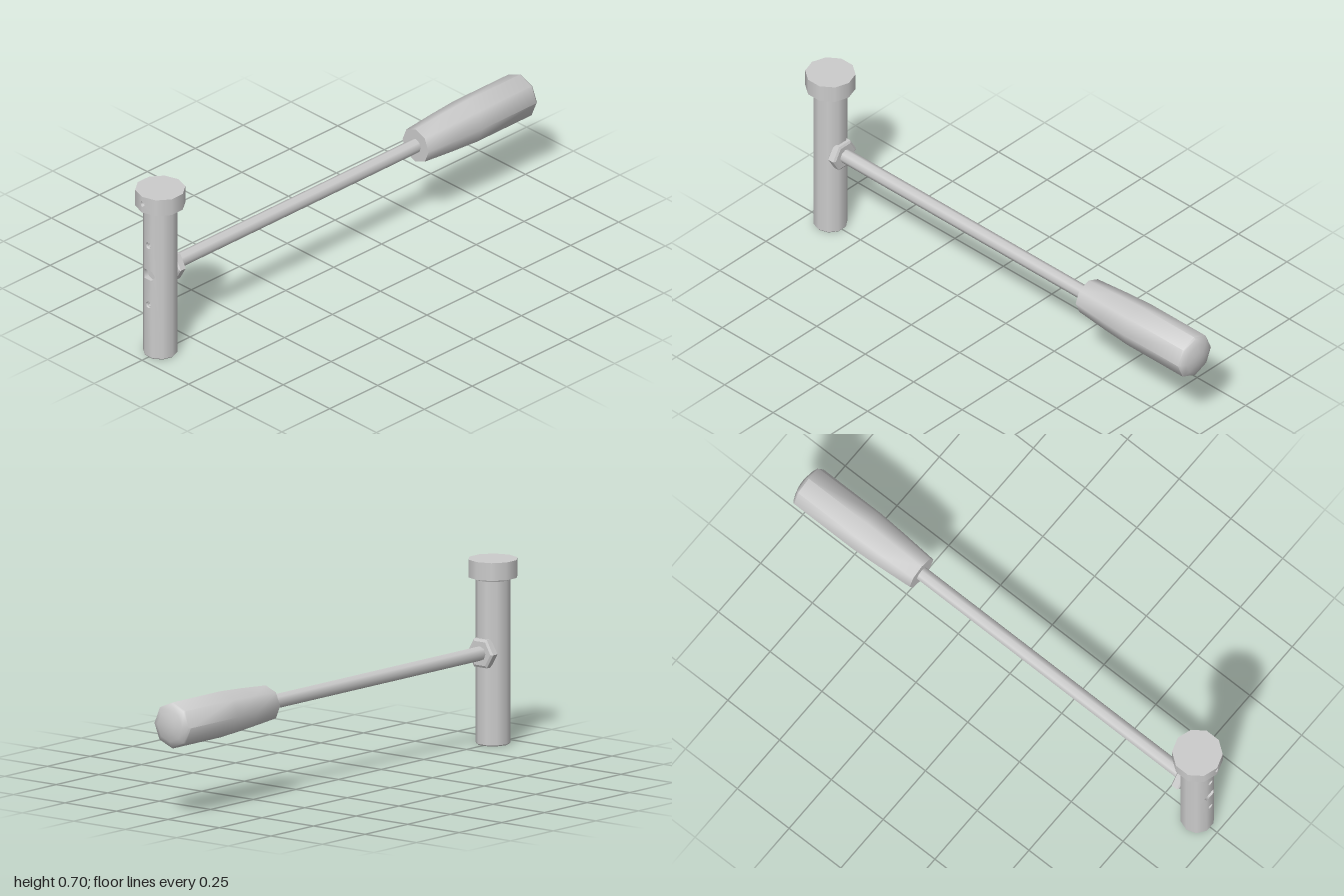
import * as THREE from 'three';
import { toCreasedNormals } from 'three/addons/utils/BufferGeometryUtils.js';

const mat = new THREE.MeshStandardMaterial({ color: 0xcccccc });
const inner = new THREE.MeshStandardMaterial({ color: 0xcccccc, side: THREE.DoubleSide });
const AXIS_Z = 0.905, ROD_Y = 0.354;
const POST_R = 0.065, POST_TOP = 0.627;
const CAP_R = 0.095, CAP_BOTTOM = 0.637, CAP_TOP = 0.705;
const DEG = Math.PI / 180;
const STEP = 36 * DEG; // ten-sided post and cap
const v2 = (x, y) => new THREE.Vector2(x, y);

function add(parent, name, geo, material = mat) {
  const mesh = new THREE.Mesh(geo, material);
  mesh.name = name;
  parent.add(mesh);
  return mesh;
}

const lathe = (pts, n, start = 0, length = Math.PI * 2) =>
  new THREE.LatheGeometry(pts.map(([r, y]) => v2(r, y)), n, start, length);

// Smooth shading around the vertical axis
function radialNormals(geo) {
  const p = geo.attributes.position, n = geo.attributes.normal;
  for (let i = 0; i < p.count; i++) {
    const l = Math.hypot(p.getX(i), p.getZ(i));
    n.setXYZ(i, p.getX(i) / l, 0, p.getZ(i) / l);
  }
  return geo;
}

// One flat facet of a ten-sided wall, outlined in (u, y)
function facet(radius, angle, outline, holes = []) {
  const shape = new THREE.Shape(outline.map(([u, y]) => v2(u, y)));
  for (const [y, r] of holes) {
    const pts = [];
    for (let i = 0; i < 8; i++) {
      const a = i * Math.PI / 4;
      pts.push(v2(r * Math.sin(a), y + r * Math.cos(a)));
    }
    shape.holes.push(new THREE.Path(pts));
  }
  const geo = new THREE.ShapeGeometry(shape);
  geo.translate(0, 0, radius * Math.cos(STEP / 2));
  geo.rotateY(angle);
  return radialNormals(geo);
}

// Wall of a bore along z, its rim trimmed to the surface it opens through
function bore(parent, name, y, rFront, rBack, zFront, zBack, sides, surface) {
  const geo = new THREE.CylinderGeometry(rFront, rBack, zFront - zBack, sides, 1, true);
  geo.rotateX(Math.PI / 2);
  geo.translate(0, y, (zFront + zBack) / 2);
  const p = geo.attributes.position;
  if (surface) {
    for (let i = 0; i < p.count; i++) p.setZ(i, Math.min(p.getZ(i), surface(Math.abs(p.getX(i)))));
  }
  add(parent, name, geo, inner);
}

// Set screw sunk in a bore, with a hexagonal socket
function setScrew(parent, y, r, z) {
  const ring = new THREE.RingGeometry(r * 0.55, r * 0.85, 24);
  ring.translate(0, y, z);
  add(parent, 'setScrewFace', ring);
  bore(parent, 'setScrewSocket', y, r * 0.57, r * 0.57, z, z - 0.012, 6);
  const floor = new THREE.CircleGeometry(r * 0.57, 6, Math.PI / 6 * 3);
  floor.translate(0, y, z - 0.012);
  add(parent, 'socketFloor', floor);
}

function buildPost() {
  const post = new THREE.Group();
  post.name = 'post';
  const h = POST_R * Math.sin(STEP / 2), front = POST_R * Math.cos(STEP / 2);
  const boreR = h * Math.SQRT2, y0 = 0.004, y1 = POST_TOP;
  const screws = [0.48, 0.225], screwR = 0.014;

  // Seven plain facets around the back, three drilled ones at the front
  add(post, 'postWall', radialNormals(lathe([[POST_R, y0], [POST_R, y1]], 7, 54 * DEG, 252 * DEG)));
  add(post, 'postFrontUpper', facet(POST_R, 0,
    [[-h, ROD_Y + h], [h, ROD_Y + h], [h, y1], [-h, y1]], [[screws[0], screwR]]));
  add(post, 'postFrontLower', facet(POST_R, 0,
    [[-h, y0], [h, y0], [h, ROD_Y - h], [-h, ROD_Y - h]], [[screws[1], screwR]]));
  const tip = h - (boreR - h) / Math.cos(STEP);
  for (const s of [-1, 1]) {
    add(post, 'postFrontSide', facet(POST_R, s * STEP, [
      [s * h, y0], [s * h, y1], [-s * h, y1], [-s * h, ROD_Y + h],
      [-s * tip, ROD_Y], [-s * h, ROD_Y - h], [-s * h, y0]]));
  }

  // Bores in the front
  bore(post, 'rodBore', ROD_Y, boreR, boreR, front, 0.03, 8,
    x => front - Math.max(0, x - h) * Math.tan(STEP));
  for (const y of screws) {
    bore(post, 'screwBore', y, screwR, screwR * 0.85, front, front - 0.008, 8);
    setScrew(post, y, screwR, front - 0.008);
  }

  // Chamfered foot with a blind hole
  add(post, 'footChamfer', lathe([[0.062, 0], [POST_R, y0]], 10, 18 * DEG));
  const foot = new THREE.RingGeometry(0.014, 0.062, 10);
  foot.rotateX(Math.PI / 2);
  add(post, 'foot', foot);
  add(post, 'footHole', lathe([[0, 0.03], [0.014, 0.03], [0.014, 0]], 10, 18 * DEG), inner);

  // Fillet under the cap
  add(post, 'neckFillet', lathe(
    [[POST_R, POST_TOP], [0.0665, 0.632], [0.07, 0.6355], [0.075, CAP_BOTTOM]], 10, 18 * DEG));
  return post;
}

function buildCap() {
  const cap = new THREE.Group();
  cap.name = 'cap';
  const w = CAP_R * Math.sin(STEP / 2), r = 0.011, y = 0.673, d = r * Math.SQRT1_2;
  add(cap, 'capWall', radialNormals(
    lathe([[CAP_R, CAP_BOTTOM], [CAP_R, CAP_TOP]], 8, STEP, 288 * DEG)));

  // Two front facets share a screw hole on their common edge
  for (const s of [-1, 1]) {
    const u = x => s * (-w + x / Math.cos(STEP / 2));
    add(cap, 'capFront', facet(CAP_R, s * STEP / 2, [
      [s * w, CAP_BOTTOM], [s * w, CAP_TOP], [-s * w, CAP_TOP], [u(0), y + r], [u(d), y + d],
      [u(r), y], [u(d), y - d], [u(0), y - r], [-s * w, CAP_BOTTOM]]));
  }
  bore(cap, 'capBore', y, r, r * 0.85, CAP_R, CAP_R - 0.014, 8,
    x => CAP_R - x * Math.tan(STEP / 2));
  setScrew(cap, y, r, CAP_R - 0.014);

  for (const s of [-1, 1]) {
    const disc = new THREE.CircleGeometry(CAP_R, 10, Math.PI / 2);
    disc.rotateX(-s * Math.PI / 2);
    disc.translate(0, s > 0 ? CAP_TOP : CAP_BOTTOM, 0);
    add(cap, s > 0 ? 'capTop' : 'capUnderside', disc);
  }
  return cap;
}

export function createModel() {
  const model = new THREE.Group();
  model.name = 'leverTool';

  const head = new THREE.Group();
  head.name = 'head';
  head.position.z = AXIS_Z;
  head.add(buildPost(), buildCap());
  model.add(head);

  // Lever parts are turned about y and then laid along z
  const lever = new THREE.Group();
  lever.name = 'lever';
  lever.position.y = ROD_Y;
  lever.rotation.x = Math.PI / 2;
  model.add(lever);

  // Octagonal rod running through the post
  const rod = new THREE.CylinderGeometry(0.028, 0.028, 1.395, 8);
  rod.translate(0, 0.945 - 1.395 / 2, 0);
  add(lever, 'rod', rod);

  // Hexagonal lock nut against the back of the post
  const nut = lathe([[0, 0.827], [0.052, 0.827], [0.062, 0.832], [0.062, 0.857],
    [0.056, 0.862], [0, 0.862]], 6, Math.PI / 6);
  add(lever, 'lockNut', toCreasedNormals(nut, 0.3));

  // Tapered grip with a shallow domed end
  const grip = lathe([[0, -1], [0.03, -0.9975], [0.06, -0.99], [0.083, -0.979], [0.088, -0.972],
    [0.088, -0.69], [0.081, -0.57], [0.07, -0.427], [0, -0.427]], 8);
  add(lever, 'grip', toCreasedNormals(grip, 0.9));

  return model;
}
